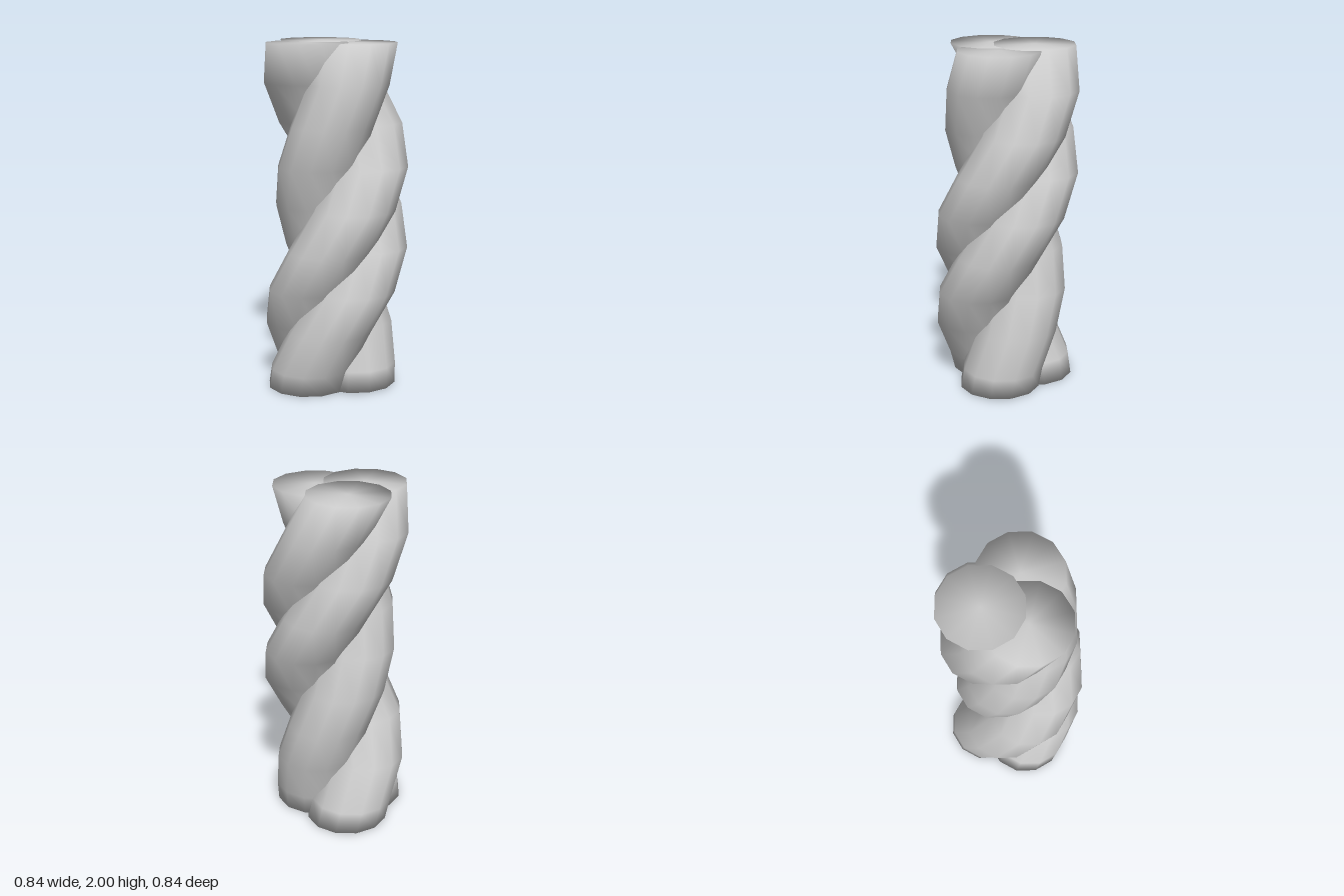
import * as THREE from 'three';

const SIDES = 12;
const STEP = 0.235;           // height of one 45 degree twist step
const RADIUS = 0.237;         // radius of each strand
const DEG = Math.PI / 180;

// Cross-section heights and twist angles; both ends stop at the same angle
const levels = [{ y: 0, turn: 50 * DEG }, { y: 0.12, turn: 40 * DEG }];
for (let k = 1; k < 8; k++) levels.push({ y: 0.12 + k * STEP, turn: 45 * (1 - k) * DEG });
levels.push({ y: 2, turn: -310 * DEG });
const TOP = levels.length - 1;

// One strand: round slices carried around the y axis, closed by caps.
// The small inset keeps overlapping caps apart.
function makeStrand(name, startAngle, offset, inset) {
  const pos = [];
  const index = [];
  const centreAt = (j) => {
    const { y, turn } = levels[j];
    const a = startAngle + turn;
    const height = THREE.MathUtils.clamp(y, inset, 2 - inset);
    return new THREE.Vector3(offset * Math.cos(a), height, offset * Math.sin(a));
  };
  for (let j = 0; j <= TOP; j++) {
    const c = centreAt(j);
    for (let i = 0; i < SIDES; i++) {
      const t = (i / SIDES) * Math.PI * 2;
      pos.push(c.x + RADIUS * Math.cos(t), c.y, c.z + RADIUS * Math.sin(t));
    }
  }
  // Walls
  for (let j = 0; j < TOP; j++) {
    for (let i = 0; i < SIDES; i++) {
      const a = j * SIDES + i, b = j * SIDES + (i + 1) % SIDES;
      const c = a + SIDES, d = b + SIDES;
      index.push(a, d, b, a, c, d);
    }
  }
  // End caps share the rim, so the shading rolls over the ends
  for (const j of [0, TOP]) {
    const hub = pos.length / 3;
    pos.push(...centreAt(j).toArray());
    for (let i = 0; i < SIDES; i++) {
      const p = j * SIDES + i, q = j * SIDES + (i + 1) % SIDES;
      if (j === 0) index.push(hub, p, q);
      else index.push(hub, q, p);
    }
  }
  const geometry = new THREE.BufferGeometry();
  geometry.setAttribute('position', new THREE.Float32BufferAttribute(pos, 3));
  geometry.setIndex(index);
  geometry.computeVertexNormals();
  const mesh = new THREE.Mesh(geometry, new THREE.MeshStandardMaterial({ color: 0xcccccc }));
  mesh.name = name;
  return mesh;
}

export function createModel() {
  const group = new THREE.Group();
  group.name = 'twistedRope';
  // Two outer strands a quarter turn apart, and a shallower one opposite them
  group.add(makeStrand('strandOne', Math.PI, 0.183, 0));
  group.add(makeStrand('strandTwo', Math.PI / 2, 0.183, 0.002));
  group.add(makeStrand('strandThree', -Math.PI / 4, 0.118, 0.004));
  return group;
}
